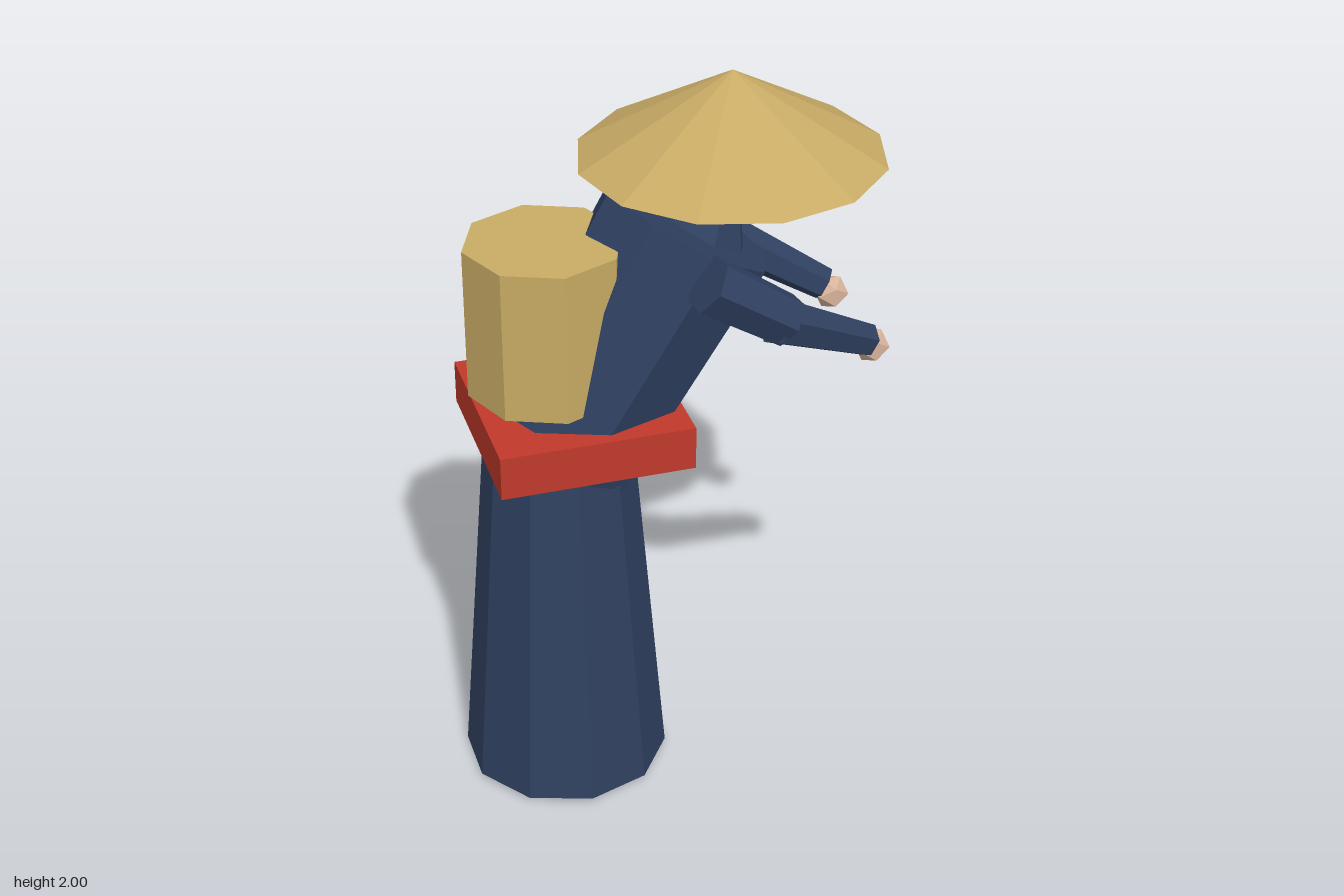
import * as THREE from 'three';

function material(name, color) {
  const m = new THREE.MeshStandardMaterial({ color, flatShading: true });
  m.name = name;
  return m;
}

export function createModel() {
  const cloth = material('navy cloth', 0x2f4060);
  const straw = material('straw', 0xc8ab65);
  const sash = material('red sash', 0xc0392b);
  const skin = material('skin', 0xd8b49c);
  const dark = material('black', 0x1a1a1a);
  const group = new THREE.Group();
  group.name = 'travellerInStrawHat';

  function add(name, geometry, mat, x, y, z, parent = group) {
    const mesh = new THREE.Mesh(geometry, mat);
    mesh.name = name;
    mesh.position.set(x, y, z);
    parent.add(mesh);
    return mesh;
  }

  // Tapered prism running from point a to point b
  function limb(name, a, b, ra, rb, sides, mat, parent = group) {
    const start = new THREE.Vector3(...a);
    const end = new THREE.Vector3(...b);
    const dir = end.clone().sub(start);
    const mid = start.add(end).multiplyScalar(0.5);
    const geometry = new THREE.CylinderGeometry(rb, ra, dir.length(), sides);
    const mesh = add(name, geometry, mat, mid.x, mid.y, mid.z, parent);
    mesh.quaternion.setFromUnitVectors(new THREE.Vector3(0, 1, 0), dir.normalize());
    return mesh;
  }

  // Robe skirt, forward-leaning torso and collar
  limb('skirt', [-0.3, 0.01, 0], [-0.3, 1, 0], 0.28, 0.2, 10, cloth);
  limb('torso', [-0.3, 1, 0], [0.06, 1.6, 0], 0.22, 0.24, 8, cloth);
  limb('collar', [0.07, 1.555, 0], [0.112, 1.645, 0], 0.15, 0.095, 8, cloth);

  // Square sash around the waist
  add('sash', new THREE.BoxGeometry(0.515, 0.12, 0.51), sash, -0.2575, 1.08, 0);

  // Basket on the back
  add('basket', new THREE.CylinderGeometry(0.21, 0.21, 0.415, 8), straw, -0.325, 1.3925, 0);

  // Neck, head and nose
  limb('neck', [0.09, 1.59, 0], [0.15, 1.73, 0], 0.055, 0.055, 8, skin);
  add('head', new THREE.IcosahedronGeometry(0.12, 1), skin, 0.17, 1.755, 0);
  limb('nose', [0.265, 1.765, 0], [0.32, 1.735, 0], 0.03, 0.002, 4, skin);

  // Hair cap, lower at the back
  const hairGeometry = new THREE.SphereGeometry(0.128, 10, 5, 0, Math.PI * 2, 0, Math.PI / 2);
  const hair = add('hair', hairGeometry, dark, 0.155, 1.785, 0);
  hair.rotation.z = 0.35;
  dark.side = THREE.DoubleSide;

  // Wide conical hat
  add('hat', new THREE.ConeGeometry(0.4, 0.23, 12), straw, 0.17, 1.885, 0);

  // Arms and feet on both sides
  for (const s of [1, -1]) {
    const arm = new THREE.Group();
    arm.name = s > 0 ? 'frontArm' : 'backArm';
    group.add(arm);
    limb('upperArm', [0.02, 1.565, s * 0.275], [0.235, 1.42, s * 0.26], 0.078, 0.07, 6, cloth, arm);
    limb('forearm', [0.205, 1.425, s * 0.265], [0.495, 1.265, s * 0.16], 0.064, 0.046, 6, cloth, arm);
    add('hand', new THREE.IcosahedronGeometry(0.049, 0), skin, 0.512, 1.243, s * 0.152, arm);
    add(s > 0 ? 'frontFoot' : 'backFoot', new THREE.BoxGeometry(0.28, 0.05, 0.13), dark, -0.26, 0.025, s * 0.118);
  }

  return group;
}
